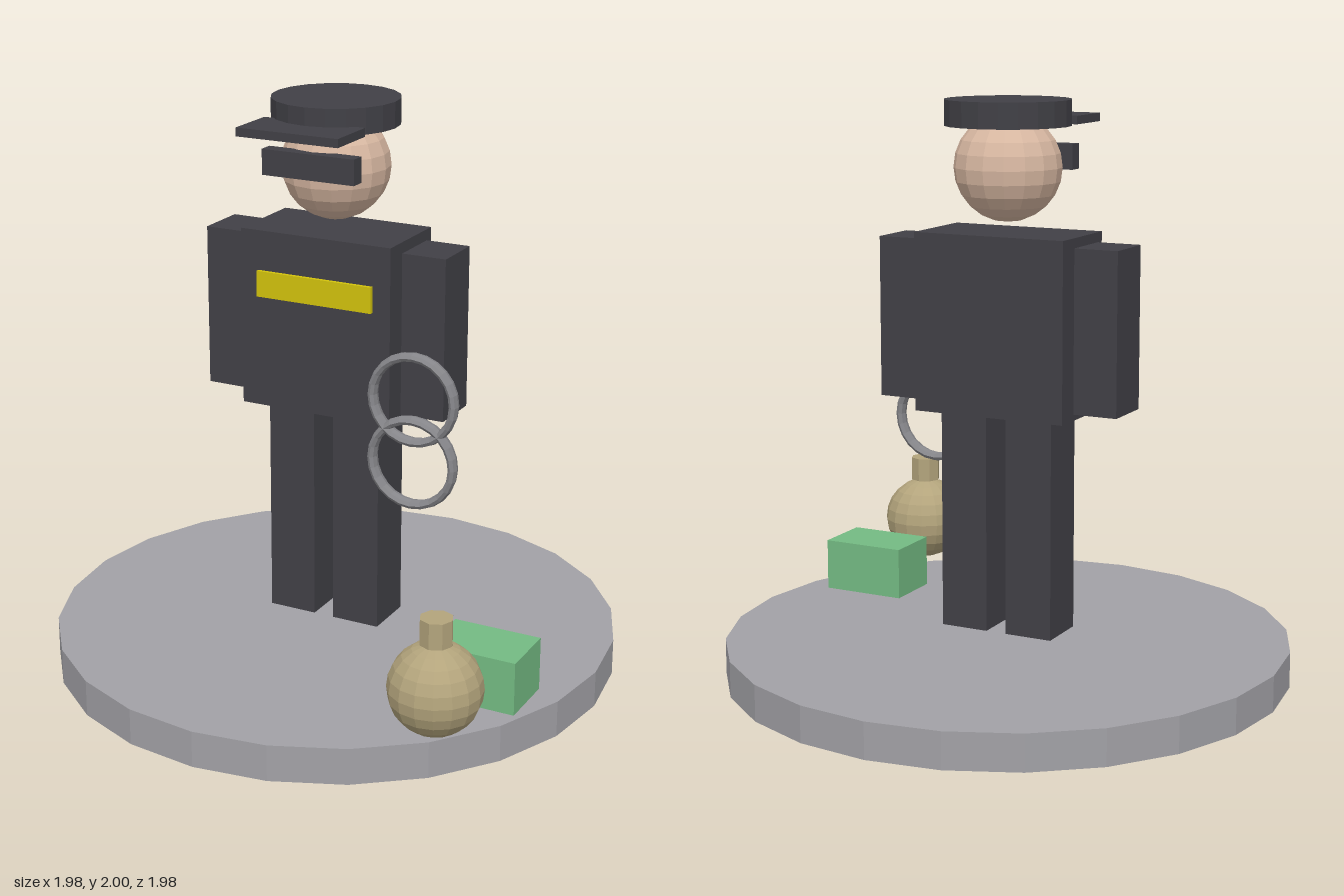
import * as THREE from 'three';

function material(name, color) {
  const m = new THREE.MeshStandardMaterial({ color, flatShading: true });
  m.name = name;
  return m;
}

export function createModel() {
  const model = new THREE.Group();
  model.name = 'officerFigure';

  const uniform = material('charcoal', 0x414046);
  const skin = material('skin', 0xd8b8a2);
  const yellow = material('yellow', 0xd2c20c);
  const stone = material('stoneGrey', 0xa2a1a6);
  const steel = material('steel', 0x86868a);
  const green = material('green', 0x74bb83);
  const brass = material('brass', 0xb3a47c);

  function add(name, geometry, mat, x, y, z) {
    const mesh = new THREE.Mesh(geometry, mat);
    mesh.name = name;
    mesh.position.set(x, y, z);
    model.add(mesh);
    return mesh;
  }

  // Box given by its lower and upper limits on each axis
  function box(name, mat, [x0, x1], [y0, y1], [z0, z1]) {
    return add(name, new THREE.BoxGeometry(x1 - x0, y1 - y0, z1 - z0), mat,
      (x0 + x1) / 2, (y0 + y1) / 2, (z0 + z1) / 2);
  }

  // Round stand
  add('base', new THREE.CylinderGeometry(0.99, 0.99, 0.127, 24), stone, 0, 0.0635, 0);

  // Body, arms and legs
  box('torso', uniform, [-0.28, 0.28], [0.935, 1.553], [-0.153, 0.153]);
  for (const [side, s] of [['left', 1], ['right', -1]]) {
    const span = (a, b) => (s > 0 ? [a, b] : [-b, -a]);
    box(side + 'Leg', uniform, span(0.037, 0.21), [0.16, 0.94], [-0.093, 0.093]);
    box(side + 'Arm', uniform, span(0.293, 0.45), [0.963, 1.523], [-0.093, 0.093]);
  }
  box('chestStripe', yellow, [-0.215, 0.215], [1.325, 1.415], [0.145, 0.167]);

  // Head, glasses and peaked cap
  add('head', new THREE.SphereGeometry(0.185, 16, 12), skin, 0, 1.772, 0);
  box('glasses', uniform, [-0.17, 0.17], [1.757, 1.844], [0.148, 0.2]);
  add('cap', new THREE.CylinderGeometry(0.217, 0.217, 0.088, 20), uniform, 0, 1.956, 0);
  box('capVisor', uniform, [-0.185, 0.185], [1.911, 1.94], [0.153, 0.34]);

  // Pair of linked cuffs, slightly deeper than they are thick
  const ring = new THREE.TorusGeometry(0.148, 0.0155, 8, 24);
  ring.scale(1, 1, 1.6);
  add('upperCuff', ring, steel, 0.384, 1.06, 0.187);
  add('lowerCuff', ring, steel, 0.384, 0.84, 0.187);

  // Crate and round flask beside the figure
  box('crate', green, [0.558, 0.867], [0.127, 0.313], [0.2, 0.413]);
  add('flask', new THREE.SphereGeometry(0.155, 16, 12), brass, 0.71, 0.313, 0.68);
  add('flaskNeck', new THREE.CylinderGeometry(0.055, 0.055, 0.088, 8), brass, 0.71, 0.511, 0.68);

  return model;
}
